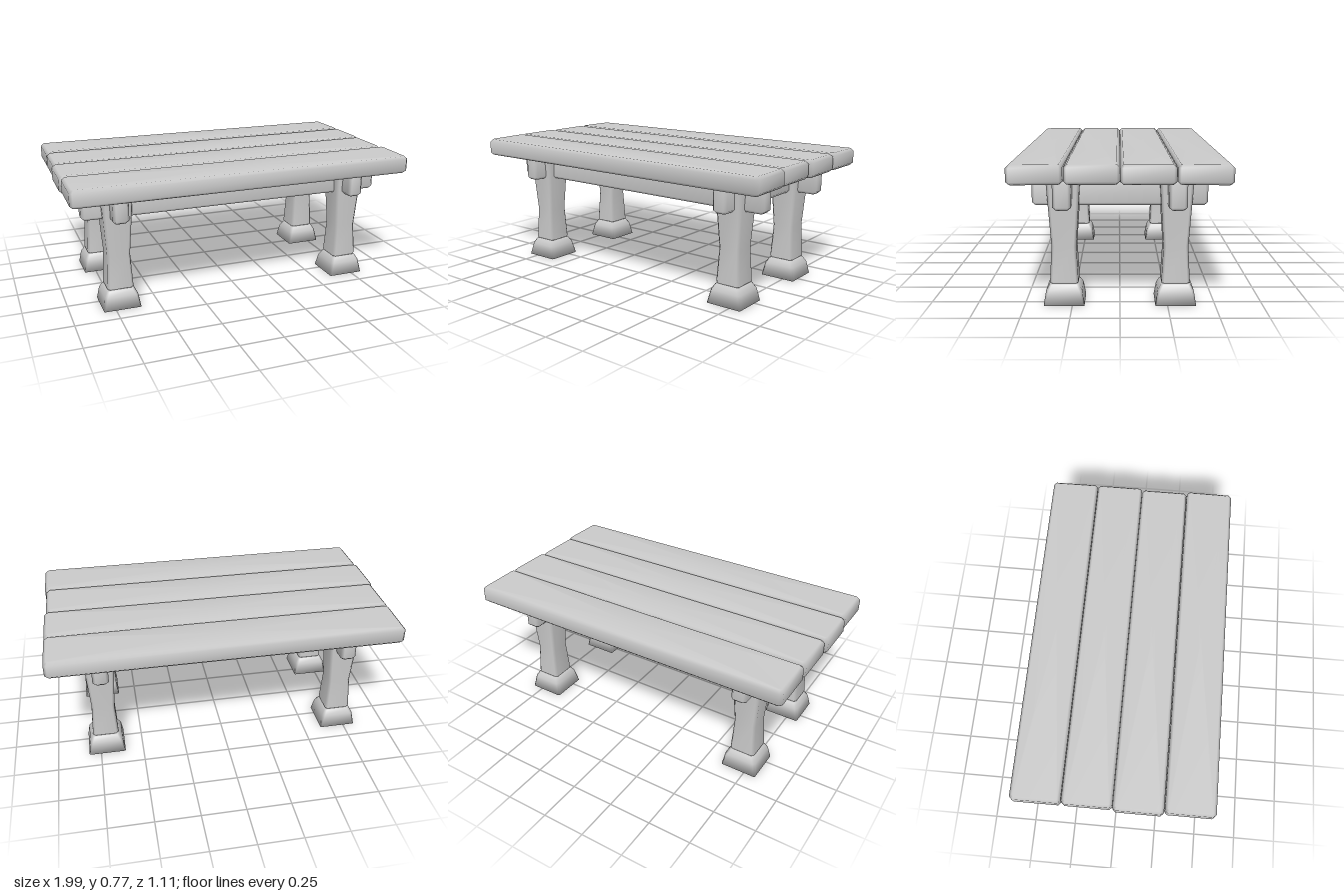
import * as THREE from 'three';

const material = new THREE.MeshStandardMaterial({ color: 0xcccccc });

// Stacks chamfered rectangles upward; each ring is [y, halfX, halfZ, chamfer].
function loft(rings) {
  const pos = [], index = [], n = 8;
  for (const [y, a, b, c] of rings) {
    const corners = [
      [a, b - c], [a - c, b], [c - a, b], [-a, b - c],
      [-a, c - b], [c - a, -b], [a - c, -b], [a, c - b],
    ];
    for (const [x, z] of corners) pos.push(x, y, z);
  }
  for (let r = 0; r < rings.length - 1; r++) {
    for (let i = 0; i < n; i++) {
      const p = r * n + i, q = r * n + (i + 1) % n;
      index.push(p, p + n, q, q, p + n, q + n);
    }
  }
  // End caps
  const last = rings.length - 1, bottom = pos.length / 3, top = bottom + 1;
  pos.push(0, rings[0][0], 0, 0, rings[last][0], 0);
  for (let i = 0; i < n; i++) {
    const j = (i + 1) % n;
    index.push(bottom, i, j, top, last * n + j, last * n + i);
  }
  const g = new THREE.BufferGeometry();
  g.setAttribute('position', new THREE.Float32BufferAttribute(pos, 3));
  g.setIndex(index);
  g.computeVertexNormals();
  return g;
}

// Box with chamfered edges, centred on the origin.
function beam(w, h, d, c) {
  const a = w / 2, b = d / 2, y = h / 2;
  return loft([
    [-y, a - c, b - c, c * 0.5], [c - y, a, b, c],
    [y - c, a, b, c], [y, a - c, b - c, c * 0.5],
  ]);
}

export function createModel() {
  const model = new THREE.Group();
  const add = (name, geometry, x, y, z) => {
    const mesh = new THREE.Mesh(geometry, material);
    mesh.name = name;
    mesh.position.set(x, y, z);
    model.add(mesh);
    return mesh;
  };

  // Tabletop planks, each slightly out of line: [x, z, roll]
  const plank = beam(1.985, 0.1, 0.276, 0.016);
  const planks = [[0.002, -0.417, 0.012], [0.002, -0.139, 0], [-0.008, 0.138, 0], [0.002, 0.417, -0.012]];
  for (const [x, z, roll] of planks) add('plank', plank, x, 0.72, z).rotation.x = -roll;

  // Rails under the top
  const longRail = beam(1.805, 0.148, 0.094, 0.016);
  const crossRail = beam(0.09, 0.148, 0.916, 0.016);
  for (const s of [-1, 1]) {
    add('longRail', longRail, 0, 0.598, s * 0.292);
    add('crossRail', crossRail, s * 0.71, 0.598, 0);
  }

  // Waisted legs on flared feet
  const leg = loft([
    [0.108, 0.068, 0.068, 0.01], [0.118, 0.075, 0.075, 0.014],
    [0.31, 0.065, 0.065, 0.014], [0.66, 0.088, 0.088, 0.016], [0.672, 0.084, 0.084, 0.014],
  ]);
  const foot = loft([
    [0, 0.107, 0.107, 0.006], [0.076, 0.095, 0.095, 0.014],
    [0.105, 0.079, 0.079, 0.014], [0.112, 0.07, 0.07, 0.012],
  ]);
  for (const x of [-0.712, 0.712]) {
    for (const z of [-0.293, 0.293]) {
      add('leg', leg, x, 0, z);
      add('foot', foot, x, 0, z);
    }
  }
  return model;
}
